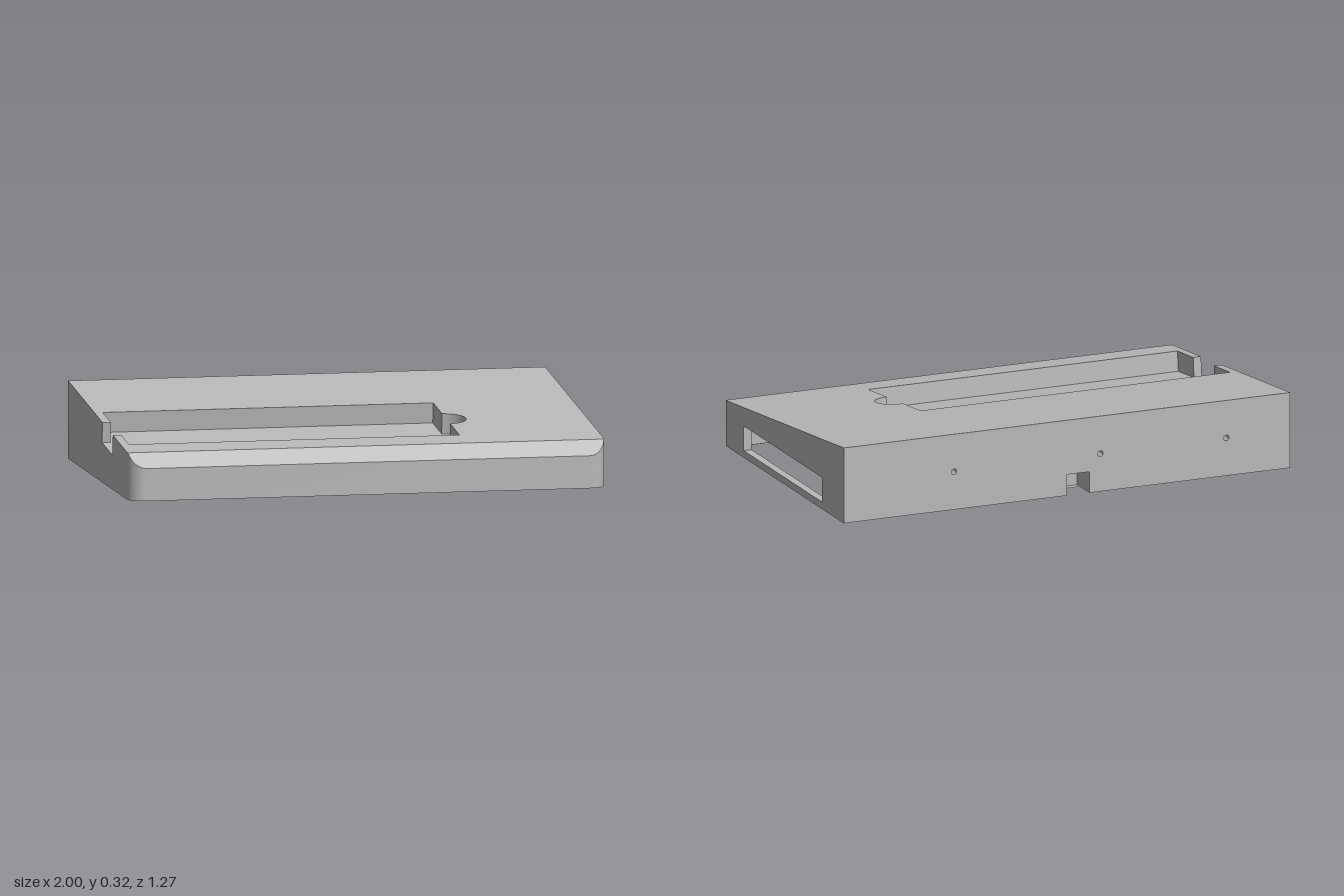
import * as THREE from 'three';
import { toCreasedNormals } from 'three/addons/utils/BufferGeometryUtils.js';

const V = (x, y, z) => new THREE.Vector3(x, y, z);
const BACK = -0.635, FRONT = 0.635, BEVEL = 0.583, RADIUS = 0.07;
const SLOPE = 0.105;
const slopeY = (z) => 0.195 + (BEVEL - z) * SLOPE;
const bevelY = (z) => 0.195 - (z - BEVEL) * 1.154;
const topY = (z) => (z > BEVEL ? bevelY(z) : slopeY(z));

// Planes: each maps flat (u, v) to space, with u x v pointing outward
const topPlane = (u, v) => V(u, slopeY(-v), -v);
const bevelPlane = (u, v) => V(u, bevelY(-v), -v);
const downPlane = (y) => (u, v) => V(u, y, v);
const rightPlane = (u, v) => V(1, v, -u);
const leftPlane = (x) => (u, v) => V(x, v, u);
const backPlane = (u, v) => V(-u, v, BACK);

const flipV = (pts) => pts.map(([a, b]) => [a, -b]);
const rect = (u0, v0, u1, v1) => [[u0, v0], [u0, v1], [u1, v1], [u1, v0]]; // clockwise

// Clockwise circle
function circle(cu, cv, r, n = 32) {
  return Array.from({ length: n }, (_, i) => {
    const a = (-i / n) * Math.PI * 2;
    return [cu + r * Math.cos(a), cv + r * Math.sin(a)];
  });
}

export function createModel() {
  const model = new THREE.Group();
  model.name = 'slopedEnclosure';
  const grey = new THREE.MeshStandardMaterial({ color: 0xb8b8b8, side: THREE.DoubleSide });
  grey.name = 'plain grey';

  const add = (name, geometry) => {
    const mesh = new THREE.Mesh(geometry, grey);
    mesh.name = name;
    model.add(mesh);
  };

  // Flat face with holes, laid on a plane
  const sheet = (name, outline, plane, holes = []) => {
    const toV2 = (pts) => pts.map(([a, b]) => new THREE.Vector2(a, b));
    const shape = new THREE.Shape(toV2(outline));
    holes.forEach((h) => shape.holes.push(new THREE.Path(toV2(h))));
    const geometry = new THREE.ShapeGeometry(shape);
    const pos = geometry.attributes.position;
    for (let i = 0; i < pos.count; i++) {
      const p = plane(pos.getX(i), pos.getY(i));
      pos.setXYZ(i, p.x, p.y, p.z);
    }
    geometry.computeVertexNormals();
    add(name, geometry);
  };

  // Ribbon between two rows of points
  const strip = (name, upper, lower, closed = false) => {
    const pts = [];
    const n = upper.length;
    for (let i = 0; i < (closed ? n : n - 1); i++) {
      const j = (i + 1) % n;
      pts.push(upper[i], lower[i], upper[j], upper[j], lower[i], lower[j]);
    }
    add(name, toCreasedNormals(new THREE.BufferGeometry().setFromPoints(pts), 0.5));
  };

  // Upright wall along [x, z] points
  const wall = (name, path, y0, y1) =>
    strip(name, path.map(([x, z]) => V(x, y1, z)), path.map(([x, z]) => V(x, y0, z)));

  // Blind hole sunk from a plane
  const pit = (name, outline, plane, depth) => {
    const mouth = outline.map(([u, v]) => plane(u, v));
    strip(name + 'Wall', mouth, mouth.map((p) => p.clone().add(depth)), true);
    sheet(name + 'Floor', outline, (u, v) => plane(u, v).add(depth));
  };

  // Rounded front edge of the footprint, from left to right
  const first = Math.asin((BEVEL - (FRONT - RADIUS)) / RADIUS);
  const angles = [0];
  for (let i = 0; i <= 8; i++) angles.push(first + (Math.PI / 2 - first) * (i / 8));
  const corner = angles.map((a) => [1 - RADIUS + RADIUS * Math.cos(a), FRONT - RADIUS + RADIUS * Math.sin(a)]);
  const front = [...corner.map(([x, z]) => [-x, z]), ...corner.slice().reverse()];
  strip('frontWall', front.map(([x, z]) => V(x, topY(z), z)), front.map(([x, z]) => V(x, 0, z)));
  sheet('frontBevel', flipV(front.slice(1, -1)), bevelPlane);

  // Tray pocket in the sloped top, open at one side, with a finger notch
  const finger = Array.from({ length: 17 }, (_, i) => {
    const a = -Math.PI / 2 + (i / 16) * Math.PI;
    return [0.42 + 0.083 * Math.cos(a), 0.172 + 0.083 * Math.sin(a)];
  });
  const pocket = [
    [-1, 0.07], [-0.965, 0.07], [-0.965, -0.095], [0.42, -0.095], ...finger,
    [0.42, 0.445], [-0.965, 0.445], [-0.965, 0.283], [-1, 0.283],
  ];
  const sink = V(0, -1, -SLOPE).setLength(0.085);
  const rim = pocket.map(([x, z]) => V(x, slopeY(z), z));
  strip('pocketWall', rim, rim.map((p) => p.clone().add(sink)));
  sheet('pocketFloor', flipV(pocket), (u, v) => topPlane(u, v).add(sink));
  sheet('slopedTop', flipV([
    [1, BACK], [-1, BACK], ...pocket, front[0], front[1], front.at(-2), front.at(-1),
  ]), topPlane);

  // Left side with the pocket opening
  const sideZ = FRONT - RADIUS;
  sheet('leftSide', [
    [BACK, 0], [sideZ, 0], [sideZ, slopeY(sideZ)],
    [0.283, slopeY(0.283)], [0.283 + sink.z, slopeY(0.283) + sink.y],
    [0.07 + sink.z, slopeY(0.07) + sink.y], [0.07, slopeY(0.07)], [BACK, slopeY(BACK)],
  ], leftPlane(-1));

  // Right side with a long slot through to the bay
  const slot = rect(-0.395, 0.03, 0.408, 0.135);
  sheet('rightSide', [
    [-sideZ, 0], [-BACK, 0], [-BACK, slopeY(BACK)], [-sideZ, slopeY(sideZ)],
  ], rightPlane, [slot]);
  const slotMouth = slot.map(([u, v]) => rightPlane(u, v));
  strip('slotEdge', slotMouth, slotMouth.map((p) => V(0.965, p.y, p.z)), true);

  // Back with a cable notch and three screw holes
  const screws = [0.506, -0.15, -0.714].map((x) => circle(-x, 0.162, 0.012, 16));
  sheet('backSide', [
    [-1, 0], [0, 0], [0, 0.09], [0.1, 0.09], [0.1, 0],
    [1, 0], [1, slopeY(BACK)], [-1, slopeY(BACK)],
  ], backPlane, screws);
  screws.forEach((s) => pit('backScrewHole', s, backPlane, V(0, 0, 0.06)));

  // Underside with four round foot recesses, the bay and the cable channel
  const IN = -0.605;
  const feet = [];
  for (const x of [0.35, -0.85]) for (const z of [-0.5, 0.53]) feet.push(circle(x, z, 0.06));
  sheet('underside', [
    [-1, BACK], [-0.1, BACK], [-0.1, -0.51], [0.53, -0.51], [0.53, 0.55], [0.98, 0.55],
    [0.98, IN], [0, IN], [0, BACK], [1, BACK], ...front.slice().reverse(),
  ], downPlane(0), feet);
  feet.forEach((f) => pit('footRecess', f, downPlane(0), V(0, 0.015, 0)));

  // Cover ledge around the bay
  const ledgeHoles = [0.55, 0.955].map((x) => circle(x, 0.52, 0.01, 16));
  wall('ledgeEdge', [[0.98, IN], [0.98, 0.55], [0.53, 0.55], [0.53, -0.51]], 0, 0.02);
  sheet('coverLedge', [
    [0.53, -0.51], [0.57, -0.51], [0.57, 0.49], [0.965, 0.49],
    [0.965, IN], [0.98, IN], [0.98, 0.55], [0.53, 0.55],
  ], downPlane(0.02), ledgeHoles);
  ledgeHoles.forEach((h) => pit('ledgeScrewHole', h, downPlane(0.02), V(0, 0.05, 0)));

  // Bay inside
  wall('bayBackWall', [[0.57, IN], [0.98, IN]], 0, 0.15);
  wall('bayWall', [[0.965, 0.49], [0.57, 0.49], [0.57, -0.51]], 0.02, 0.15);
  wall('bayLintel', [[0.57, -0.51], [0.57, IN]], 0.09, 0.15);
  sheet('bayRightWall', rect(IN, 0.02, 0.49, 0.15), leftPlane(0.965), [slot.map(([u, v]) => [-u, v])]);
  sheet('bayCeiling', rect(0.57, IN, 0.965, 0.49), downPlane(0.15));

  // Cable channel from the bay to the notch
  wall('channelFrontWall', [[0.57, -0.51], [-0.1, -0.51], [-0.1, BACK]], 0, 0.09);
  wall('channelBackWall', [[0, BACK], [0, IN], [0.57, IN]], 0, 0.09);
  sheet('channelCeiling', [
    [-0.1, BACK], [0, BACK], [0, IN], [0.57, IN], [0.57, -0.51], [-0.1, -0.51],
  ], downPlane(0.09));

  return model;
}
